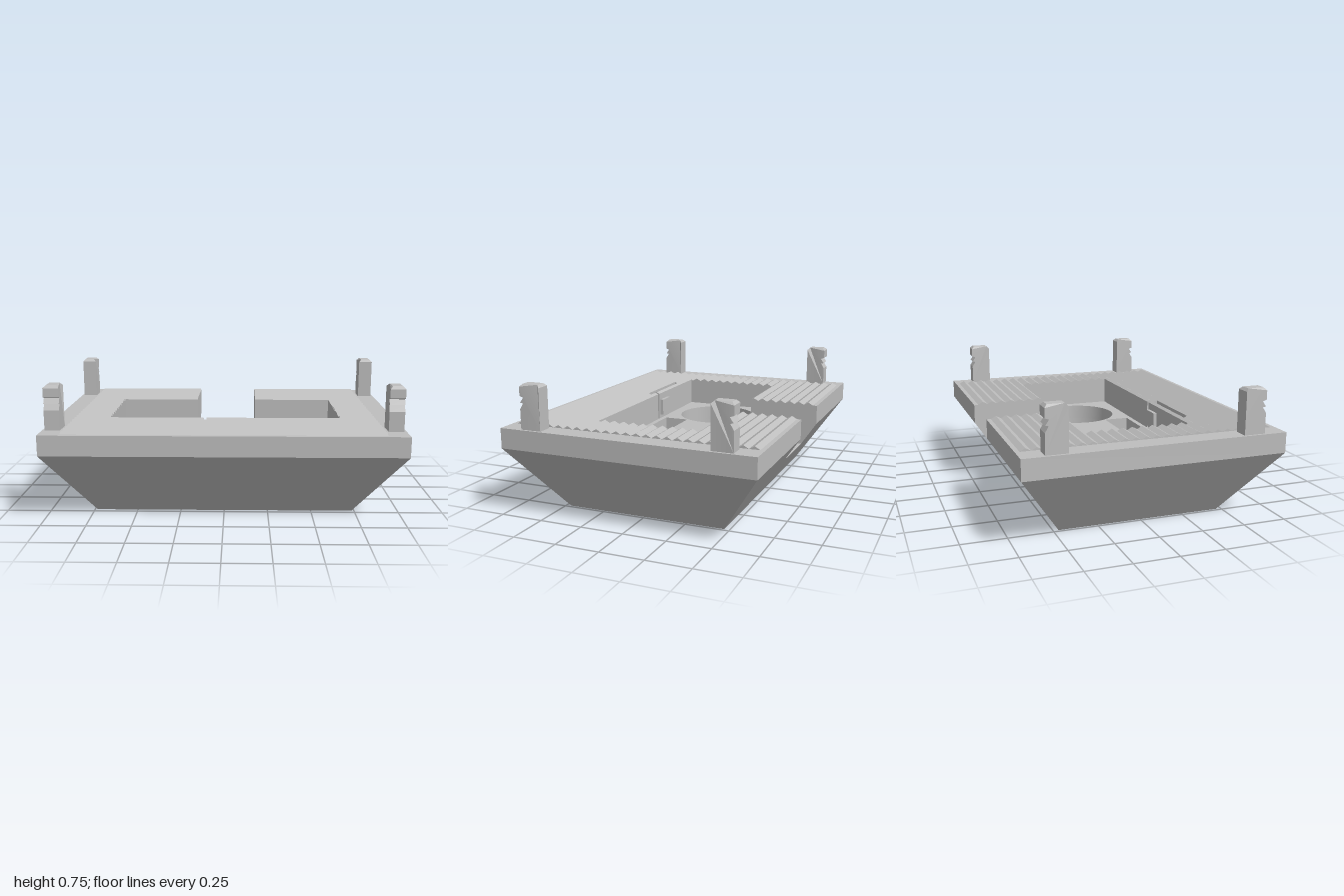
import * as THREE from 'three';
import { toCreasedNormals } from 'three/addons/utils/BufferGeometryUtils.js';

const TOP = 0.5, RIM = 0.385, FLOOR = 0.34, SLOT = 0.25;
const POCKET_X = 0.675, POCKET_Z = 0.305, SLOT_X = 0.19;

// Half width and half depth of the outer shell at height y
const halfX = y => 0.735 + 0.265 * Math.min(y / RIM, 1);
const halfZ = y => 0.47 + 0.26 * Math.min(y / RIM, 1);

const toShape = pts => new THREE.Shape(pts.map(([a, b]) => new THREE.Vector2(a, b)));

export function createModel() {
  const group = new THREE.Group();
  const grey = new THREE.MeshStandardMaterial({ color: 0xbebebe, side: THREE.DoubleSide });
  grey.name = 'plainGrey';

  function add(name, geometry) {
    const mesh = new THREE.Mesh(toCreasedNormals(geometry, 0.4), grey);
    mesh.name = name;
    group.add(mesh);
  }

  // Horizontal slab from a plan in x and z; its outer edge follows the tapered shell
  function slab(name, shape, y0, y1, ref) {
    const geo = new THREE.ExtrudeGeometry(shape, { depth: y1 - y0, bevelEnabled: false, curveSegments: 48 });
    geo.rotateX(Math.PI / 2).translate(0, y1, 0);
    const p = geo.attributes.position;
    for (let i = 0; i < p.count; i++) {
      const x = p.getX(i), y = p.getY(i), z = p.getZ(i);
      if (Math.abs(x) > halfX(ref) - 1e-4) p.setX(i, Math.sign(x) * halfX(y));
      if (Math.abs(z) > halfZ(ref) - 1e-4) p.setZ(i, Math.sign(z) * halfZ(y));
    }
    add(name, geo);
  }

  // Two round wells and a rectangular opening through the base
  function cutOpenings(shape) {
    for (const cx of [-0.385, 0.38]) {
      shape.holes.push(new THREE.Path().absarc(cx, -0.005, 0.243, 0, Math.PI * 2, true));
    }
    shape.holes.push(new THREE.Path([[-0.167, 0.125], [-0.167, 0.275], [0.165, 0.275], [0.165, 0.125]]
      .map(([a, b]) => new THREE.Vector2(a, b))));
    return shape;
  }

  // Plan of the shell, entered from the back edge with an inner cut
  function plan(ref, cut) {
    const X = halfX(ref), Z = halfZ(ref);
    return toShape([[-X, -Z], [-X, Z], [X, Z], [X, -Z],
      ...(cut.length ? [[SLOT_X, -Z], ...cut, [-SLOT_X, -Z]] : [])]);
  }

  // Tapered base, then the pocket floor with its back slot and step
  slab('base', cutOpenings(plan(0, [])), 0, SLOT, 0);
  slab('pocketFloor', cutOpenings(plan(FLOOR, [
    [SLOT_X, -POCKET_Z], [0.165, -POCKET_Z], [0.165, -0.215],
    [-0.165, -0.215], [-0.165, -POCKET_Z], [-SLOT_X, -POCKET_Z],
  ])), SLOT, FLOOR, FLOOR);

  // Pocket walls with a narrow L-shaped groove in the front wall
  const walls = [
    [SLOT_X, -POCKET_Z], [POCKET_X, -POCKET_Z], [POCKET_X, POCKET_Z],
    [-0.105, POCKET_Z], [-0.105, 0.37], [-0.53, 0.37], [-0.53, 0.345], [-0.125, 0.345], [-0.125, POCKET_Z],
    [-POCKET_X, POCKET_Z], [-POCKET_X, -POCKET_Z], [-SLOT_X, -POCKET_Z],
  ];
  slab('pocketWalls', plan(TOP, walls), FLOOR, RIM, TOP);
  slab('rim', plan(TOP, walls), RIM, TOP, TOP);

  // Small tab on the front pocket wall
  add('grooveTab', new THREE.BoxGeometry(0.11, 0.1, 0.02).translate(-0.195, 0.415, 0.295));

  // Profile in z and y, extruded from x0 to x1
  function extrudeX(pts, x0, x1) {
    const geo = new THREE.ExtrudeGeometry(toShape(pts.map(([z, y]) => [-z, y])),
      { depth: x1 - x0, bevelEnabled: false });
    return geo.rotateY(Math.PI / 2).translate(x0, 0, 0);
  }

  // Ridged deck: 24 triangular ridges, clipped to each area around the pocket
  const START = -0.705, PITCH = 1.41 / 24, RIDGE = 0.016;
  const ridgeY = z => {
    const t = ((z - START) / PITCH) % 1;
    return TOP + RIDGE * (1 - Math.abs(2 * t - 1));
  };
  function ridges(x0, x1, z0, z1) {
    const pts = [[z0, TOP - 0.002], [z0, ridgeY(z0)]];
    for (let k = 0; k <= 48; k++) {
      const z = START + k * PITCH / 2;
      if (z > z0 + 1e-4 && z < z1 - 1e-4) pts.push([z, TOP + (k % 2 ? RIDGE : 0)]);
    }
    pts.push([z1, TOP], [z1, TOP - 0.002]);
    if (z1 < 0.7) pts[pts.length - 2][1] = ridgeY(z1);
    add('deckRidges', extrudeX(pts, x0, x1));
  }
  const END = 0.705;
  ridges(-0.88, -POCKET_X, START, END);
  ridges(POCKET_X, 0.88, START, END);
  ridges(-POCKET_X, -SLOT_X, START, -POCKET_Z);
  ridges(SLOT_X, POCKET_X, START, -POCKET_Z);
  ridges(-POCKET_X, -0.53, POCKET_Z, 0.37);
  ridges(-0.53, -0.125, POCKET_Z, 0.345);
  ridges(-0.105, POCKET_X, POCKET_Z, 0.37);
  ridges(-POCKET_X, POCKET_X, 0.37, END);

  // Four corner posts with catch notches on the outer face and a chamfered top
  const post = [[0.485, TOP], [0.485, 0.735], [0.5, 0.75], [0.59, 0.75], [0.605, 0.735],
    [0.605, 0.685], [0.583, 0.677], [0.603, 0.648], [0.585, 0.645], [0.605, 0.612], [0.605, TOP]];
  for (const sx of [-1, 1]) {
    for (const sz of [-1, 1]) {
      const cx = sx * 0.943;
      const geo = extrudeX(post.map(([z, y]) => [sz * z, y]), cx - 0.0425, cx + 0.0425);
      const p = geo.attributes.position;
      for (let i = 0; i < p.count; i++) {
        if (p.getY(i) > 0.745) p.setX(i, cx + (p.getX(i) - cx) * 0.65);
      }
      add('cornerPost', geo);
    }
  }
  return group;
}
